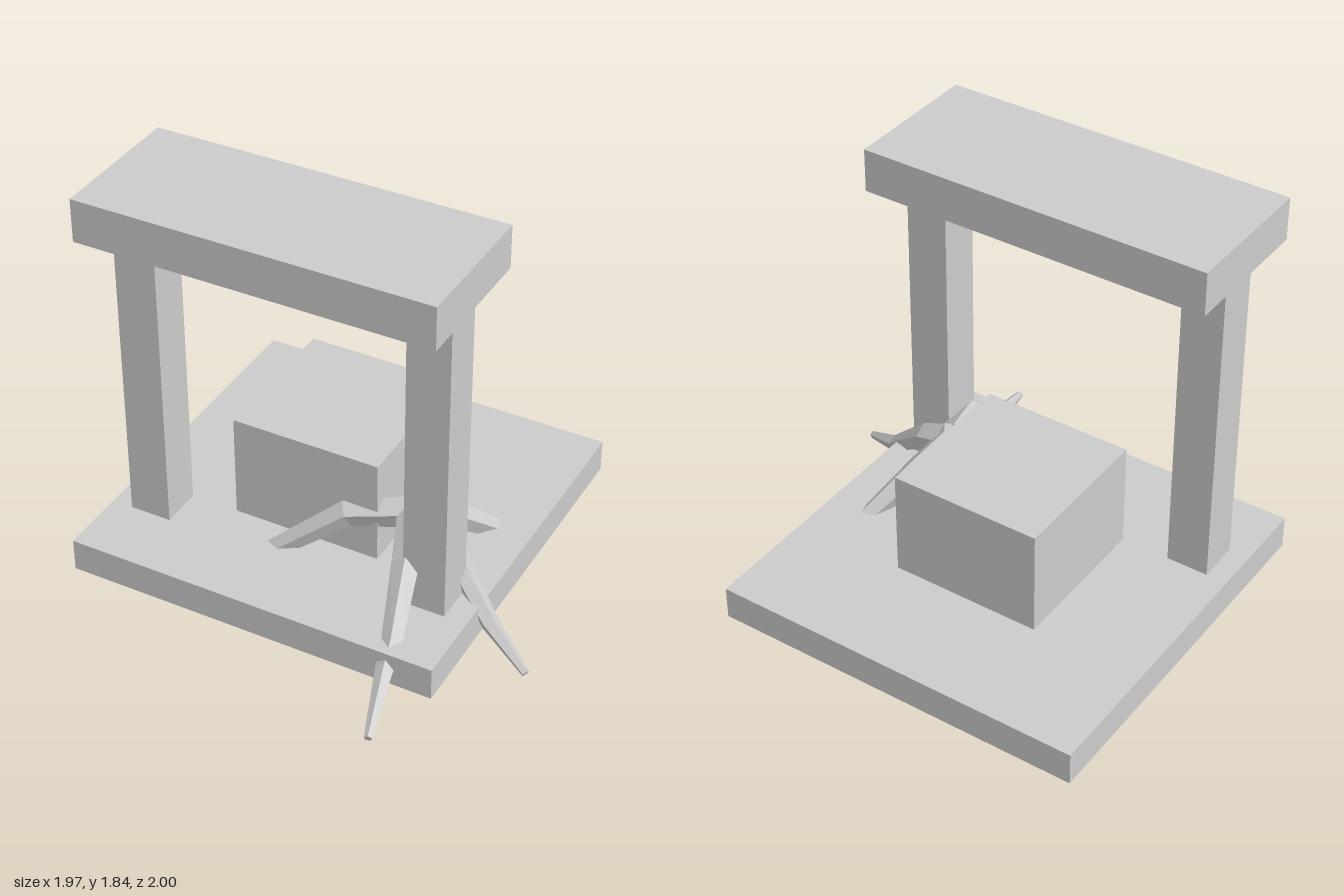
import * as THREE from 'three';

const material = new THREE.MeshStandardMaterial({ color: 0xcccccc, flatShading: true });

// Box given by its minimum and maximum corners
function block(name, min, max) {
  const [w, h, d] = max.map((v, i) => v - min[i]);
  const mesh = new THREE.Mesh(new THREE.BoxGeometry(w, h, d), material);
  mesh.position.set(...max.map((v, i) => (v + min[i]) / 2));
  mesh.name = name;
  return mesh;
}

// Faceted tapering limb; each joint is [x, y, z, radius]
function limb(name, joints, sides = 5) {
  const points = joints.map(([x, y, z]) => new THREE.Vector3(x, y, z));
  const last = points.length - 1;
  const pos = [];
  const index = [];
  points.forEach((p, i) => {
    const dir = points[Math.min(i + 1, last)].clone().sub(points[Math.max(i - 1, 0)]).normalize();
    const side = new THREE.Vector3().crossVectors(dir, new THREE.Vector3(0, 1, 0)).normalize();
    const up = new THREE.Vector3().crossVectors(side, dir);
    for (let k = 0; k < sides; k++) {
      const a = (k / sides) * Math.PI * 2 + Math.PI / 2;
      const v = p.clone()
        .addScaledVector(side, Math.cos(a) * joints[i][3])
        .addScaledVector(up, Math.sin(a) * joints[i][3]);
      pos.push(v.x, v.y, v.z);
    }
  });
  for (let i = 0; i < last; i++) {
    for (let k = 0; k < sides; k++) {
      const n = (k + 1) % sides;
      const a = i * sides + k, b = i * sides + n;
      index.push(a, b + sides, b, a, a + sides, b + sides);
    }
  }
  // Caps at both ends
  for (let k = 1; k < sides - 1; k++) {
    index.push(0, k, k + 1);
    index.push(last * sides, last * sides + k + 1, last * sides + k);
  }
  const geometry = new THREE.BufferGeometry();
  geometry.setAttribute('position', new THREE.Float32BufferAttribute(pos, 3));
  geometry.setIndex(index);
  geometry.computeVertexNormals();
  const mesh = new THREE.Mesh(geometry, material);
  mesh.name = name;
  return mesh;
}

export function createModel() {
  const model = new THREE.Group();
  model.name = 'gateWithRoots';

  // Slab, block and gate
  model.add(
    block('baseSlab', [-0.985, 0.05, -1], [0.713, 0.2, 0.7]),
    block('pedestalBlock', [-0.48, 0.2, -0.49], [0.203, 0.683, 0.195]),
    block('lintel', [-0.925, 1.657, -0.03], [0.652, 1.85, 0.605]),
    block('rightPost', [-0.89, 0.2, 0.195], [-0.7, 1.657, 0.388]),
    block('leftPost', [0.422, 0.2, 0.195], [0.613, 1.657, 0.388]),
  );

  // Four bent roots spreading from a small crown
  const roots = new THREE.Group();
  roots.name = 'roots';
  const hub = [0.33, 0.445, 0.1, 0.075];
  roots.add(
    limb('frontRoot', [hub, [0.425, 0.385, 0.37, 0.06], [0.49, 0.185, 0.61, 0.046],
      [0.505, 0.12, 0.7, 0.04], [0.585, 0.024, 0.993, 0.018]]),
    limb('leftRoot', [hub, [0.48, 0.385, 0.12, 0.06], [0.66, 0.22, 0.215, 0.046],
      [0.76, 0.128, 0.26, 0.04], [0.972, 0.022, 0.36, 0.018]]),
    limb('backRoot', [hub, [0.41, 0.345, -0.06, 0.06], [0.525, 0.18, -0.25, 0.046],
      [0.57, 0.1, -0.34, 0.04], [0.673, 0.022, -0.522, 0.018]]),
    limb('rightRoot', [hub, [0.06, 0.395, 0.19, 0.06], [-0.205, 0.19, 0.29, 0.046],
      [-0.32, 0.1, 0.33, 0.04], [-0.56, 0.022, 0.415, 0.018]]),
  );
  const crown = new THREE.Mesh(new THREE.IcosahedronGeometry(0.078, 0), material);
  crown.name = 'rootCrown';
  crown.position.set(0.335, 0.445, 0.1);
  roots.add(crown);
  model.add(roots);

  return model;
}
